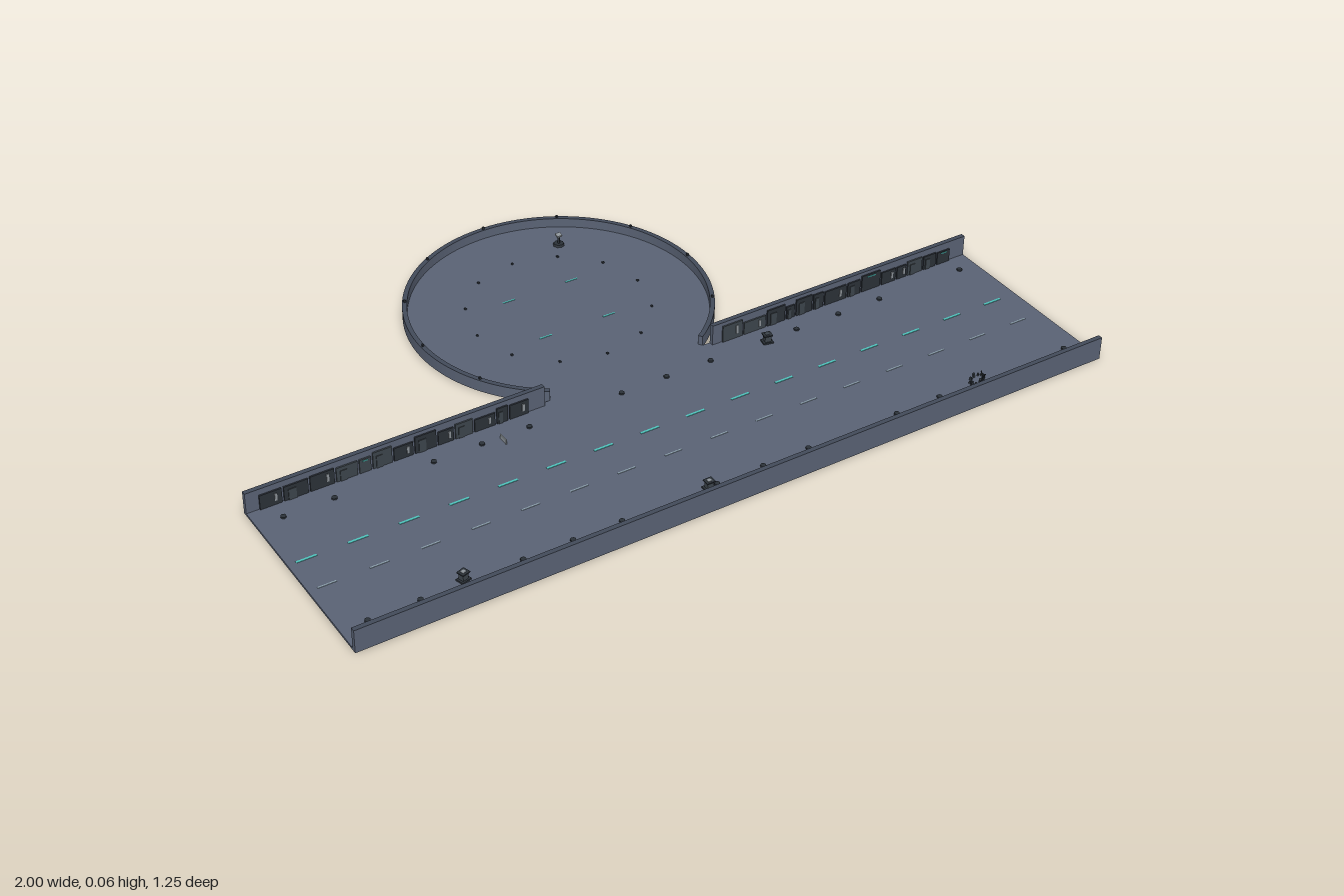
import * as THREE from 'three';

export function createModel() {
  const model = new THREE.Group();
  const mat = (name, color) => new THREE.MeshStandardMaterial({ name, color });
  const slate = mat('slate', 0x5a6375);
  const trim = mat('dark trim', 0x434b5a);
  const dark = mat('charcoal', 0x2b3138);
  const panel = mat('facade panel', 0x3d454c);
  const grey = mat('light grey', 0x8d949a);
  const teal = mat('teal', 0x4fc4bd);
  const lane = mat('lane grey', 0x8fa3b0);

  const FLOOR = 0.006, WALL = 0.06, RIM = 0.03, CZ = -0.24, R = 0.385;
  const a0 = -Math.asin(0.32 / R), a1 = Math.PI - a0;

  function add(name, geometry, material, x = 0, y = 0, z = 0, parent = model) {
    const mesh = new THREE.Mesh(geometry, material);
    mesh.name = name;
    mesh.position.set(x, y, z);
    parent.add(mesh);
    return mesh;
  }
  // box standing on height y
  const box = (name, m, w, h, d, x, y, z, parent) =>
    add(name, new THREE.BoxGeometry(w, h, d), m, x, y + h / 2, z, parent);
  // plan outline raised to a height
  function slab(shape, depth) {
    const g = new THREE.ExtrudeGeometry(shape, { depth, bevelEnabled: false, curveSegments: 64 });
    return g.rotateX(-Math.PI / 2);
  }
  let seed = 7;
  const rand = () => (seed = (seed * 16807) % 2147483647) / 2147483647;

  // one floor for the street and the round plaza
  const plan = new THREE.Shape();
  plan.moveTo(-1, -0.62);
  plan.lineTo(1, -0.62);
  plan.lineTo(1, -0.08);
  plan.absarc(0, -CZ, R, a0, a1, false);
  plan.lineTo(-1, -0.08);
  plan.closePath();
  add('floor', slab(plan, FLOOR), slate);

  // curved plaza wall with a dark cap
  function arcBand(inner, outer) {
    const s = new THREE.Shape();
    s.absarc(0, 0, outer, a0, a1, false);
    s.absarc(0, 0, inner, a1, a0, true);
    s.closePath();
    return s;
  }
  add('plazaWall', slab(arcBand(R - 0.012, R), RIM - FLOOR), slate, 0, FLOOR, CZ);
  add('plazaWallCap', slab(arcBand(R - 0.012, R), 0.001), trim, 0, RIM, CZ);

  // small markers along the plaza wall
  for (let i = 0; i < 12; i++) {
    const a = (i * Math.PI) / 6, x = Math.cos(a), z = Math.sin(a);
    if (CZ + z * R < 0.06) box('rimMarker', dark, 0.005, 0.007, 0.005, x * 0.379, RIM, CZ + z * 0.379);
    box('plazaStud', dark, 0.005, 0.004, 0.005, x * 0.23, FLOOR, CZ + z * 0.23);
  }

  // street walls
  const wall = (name, x0, x1, z) => {
    const w = x1 - x0, x = (x0 + x1) / 2;
    box(name, slate, w, WALL - FLOOR, 0.012, x, FLOOR, z);
    box(name + 'Cap', trim, w, 0.001, 0.012, x, WALL, z);
  };
  wall('frontWall', -1, 1, 0.614);
  wall('backWallRight', -1, -0.235, 0.086);
  wall('backWallLeft', 0.235, 1, 0.086);

  // shopfront panels on the inner faces, side is the direction they face
  function facade(name, x0, x1, z, side) {
    const group = new THREE.Group();
    group.name = name;
    model.add(group);
    for (let x = x0; x < x1 - 0.02;) {
      const w = Math.min(0.025 + rand() * 0.045, x1 - x), h = 0.034 + rand() * 0.012;
      const cx = x + w / 2;
      box('shopfront', rand() < 0.7 ? dark : panel, w - 0.005, h, 0.004, cx, FLOOR, z + side * 0.002, group);
      const kind = rand();
      if (kind < 0.5) {
        box('door', panel, w * 0.3, h * 0.75, 0.002, cx - w * 0.15, FLOOR, z + side * 0.005, group);
      } else if (kind < 0.8) {
        box('window', grey, 0.006, h * 0.5, 0.002, cx + w * 0.2, FLOOR + h * 0.3, z + side * 0.005, group);
      } else {
        box('lightStrip', teal, w * 0.4, 0.002, 0.002, cx, FLOOR + h * 0.85, z + side * 0.005, group);
      }
      x += w;
    }
  }
  facade('frontFacade', -0.97, 0.95, 0.608, -1);
  facade('backFacadeRight', -0.97, -0.26, 0.092, 1);
  facade('backFacadeLeft', 0.26, 0.97, 0.092, 1);

  // lane dashes and rows of studs
  for (let i = 0; i < 16; i++) {
    const x = -0.955 + i * 0.1255;
    box('tealLaneDash', teal, 0.05, 0.001, 0.006, x, FLOOR, 0.3);
    box('greyLaneDash', lane, 0.046, 0.001, 0.004, x, FLOOR, 0.4);
    if (i % 4 === 2) continue;
    for (const z of [0.145, 0.55]) {
      add('streetStud', new THREE.CylinderGeometry(0.007, 0.007, 0.004, 8), dark, -0.935 + i * 0.1255, FLOOR + 0.002, z);
    }
  }
  for (const x of [-0.09, 0.09]) for (const z of [-0.33, -0.15]) {
    box('plazaDash', teal, 0.034, 0.001, 0.004, x, FLOOR, z);
  }

  // small kiosks
  function kiosk(name, x, z, turn, top) {
    const g = new THREE.Group();
    g.name = name;
    g.position.set(x, FLOOR, z);
    g.rotation.y = turn;
    model.add(g);
    box('base', dark, 0.026, 0.004, 0.022, 0, 0, 0, g);
    box('body', panel, 0.016, 0.016, 0.014, 0, 0.004, 0, g);
    box('roof', dark, 0.022, 0.003, 0.02, 0, 0.02, 0, g);
    box('roofPanel', top, 0.01, 0.001, 0.009, 0, 0.023, 0, g);
  }
  kiosk('kioskRight', -0.7, 0.54, 0.3, grey);
  kiosk('kioskMiddle', -0.08, 0.553, 0, grey);
  kiosk('kioskBack', 0.355, 0.15, -0.2, panel);

  // plaza terminal on a post
  add('terminalBase', new THREE.CylinderGeometry(0.013, 0.015, 0.006, 8), dark, 0.147, FLOOR + 0.003, -0.487);
  add('terminalPost', new THREE.CylinderGeometry(0.003, 0.003, 0.024, 8), dark, 0.147, FLOOR + 0.016, -0.487);
  box('terminalHead', grey, 0.014, 0.005, 0.012, 0.147, 0.033, -0.487).rotation.x = 0.3;

  // thin sign beside the back wall
  box('sign', grey, 0.003, 0.012, 0.028, -0.385, FLOOR, 0.16);

  // oval ring of loose pieces on the street
  for (let i = 0; i < 10; i++) {
    const a = (i * Math.PI) / 5, u = Math.cos(a) * 0.025, v = Math.sin(a) * 0.013;
    box('ringPiece', i % 2 ? dark : panel, 0.006, 0.005 + (i % 3) * 0.003, 0.004,
      0.688 + u * 0.9 + v * 0.4, FLOOR, 0.542 - u * 0.4 + v * 0.9).rotation.y = -a;
  }
  // forked post next to the ring
  box('forkPost', dark, 0.003, 0.026, 0.003, 0.69, FLOOR, 0.56);
  for (const s of [-1, 1]) {
    box('forkArm', dark, 0.002, 0.012, 0.002, 0.69, 0.028, 0.56 + s * 0.005).rotation.x = s * 0.6;
  }
  return model;
}
